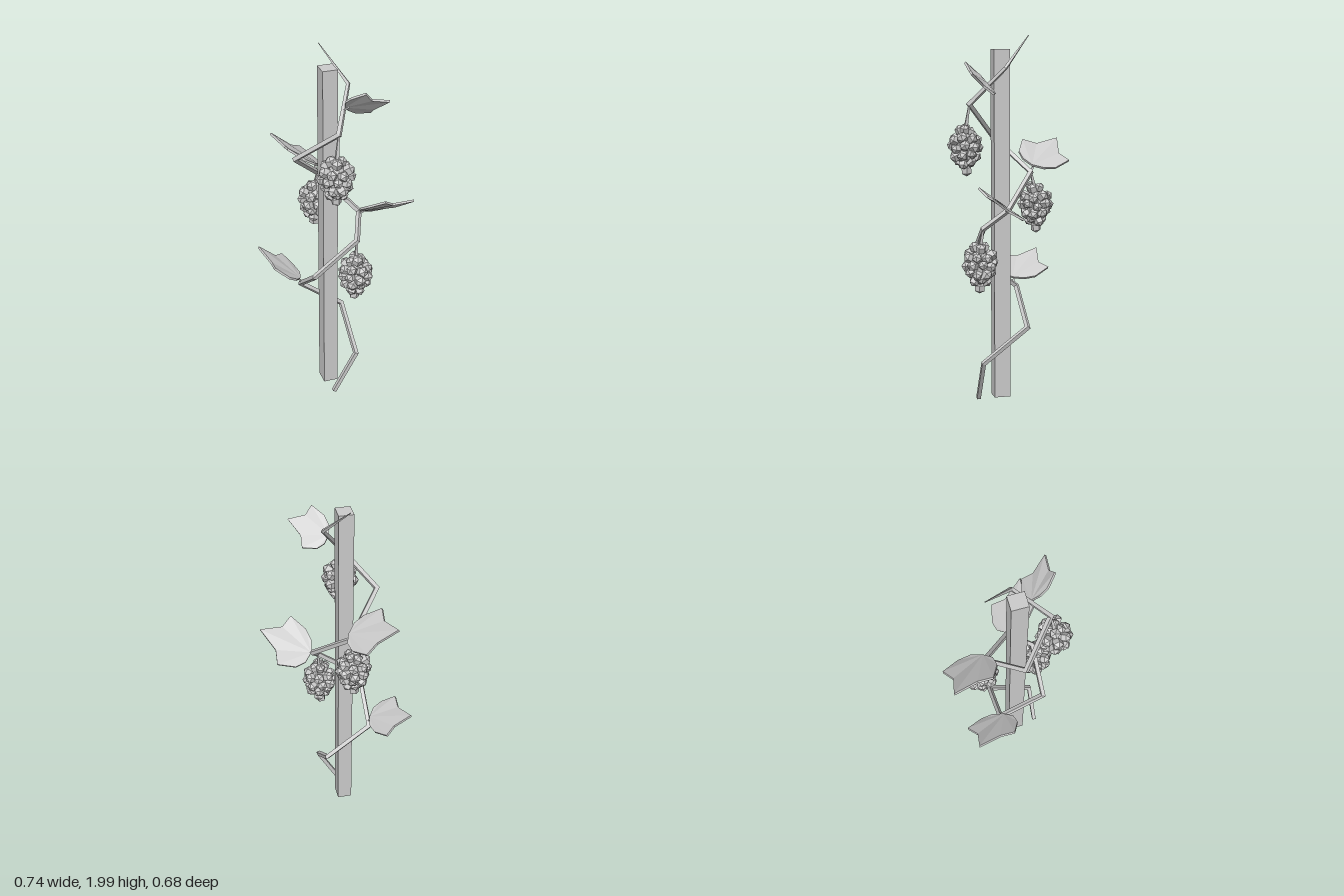
import * as THREE from 'three';
import { mergeGeometries } from 'three/addons/utils/BufferGeometryUtils.js';

const vec = (p) => new THREE.Vector3(...p);
const material = new THREE.MeshStandardMaterial({ color: 0xcccccc, flatShading: true });

function part(name, geometry) {
  const mesh = new THREE.Mesh(geometry, material);
  mesh.name = name;
  return mesh;
}

function fromTriangles(tris) {
  const g = new THREE.BufferGeometry().setFromPoints(tris);
  g.computeVertexNormals();
  return g;
}

// Square bar swept along a path, with mitred corners and a radius at each point
function bar(path, radii, sides = 4) {
  const pts = path.map(vec);
  const dirs = pts.slice(1).map((p, i) => p.clone().sub(pts[i]).normalize());
  const n = new THREE.Vector3(0, 0, 1).cross(dirs[0]).normalize();
  const rings = pts.map((p, k) => {
    const d = dirs[Math.max(k - 1, 0)], next = dirs[Math.min(k, dirs.length - 1)];
    const b = d.clone().cross(n);
    const plane = d.clone().add(next).normalize();
    const ring = [];
    for (let i = 0; i < sides; i++) {
      const a = ((i + 0.5) / sides) * Math.PI * 2;
      const o = n.clone().multiplyScalar(Math.cos(a) * radii[k]).addScaledVector(b, Math.sin(a) * radii[k]);
      o.addScaledVector(d, -o.dot(plane) / d.dot(plane));
      ring.push(o.add(p));
    }
    n.applyQuaternion(new THREE.Quaternion().setFromUnitVectors(d, next));
    return ring;
  });
  const tris = [];
  const last = rings.length - 1;
  for (let i = 0; i < sides; i++) {
    const j = (i + 1) % sides;
    for (let k = 0; k < last; k++) {
      const [a, b, c, d] = [rings[k][i], rings[k][j], rings[k + 1][j], rings[k + 1][i]];
      tris.push(a, b, c, a, c, d);
    }
    tris.push(pts[0], rings[0][j], rings[0][i], pts[last], rings[last][i], rings[last][j]);
  }
  return fromTriangles(tris);
}

// Five-lobed leaf: u runs from stalk to tip, v sideways, with slightly sunken notches
const HALF_LEAF = [[0.63, 0.48, -0.006], [0.53, 1, 0.004], [0.2, 0.78, 0], [0.05, 0.45, 0.003]];
function leaf(base, along, across) {
  const B = vec(base), U = vec(along), V = vec(across);
  const N = U.clone().cross(V).normalize();
  const up = Math.sign(N.y);
  const outline = [[1, 0, 0], ...HALF_LEAF, [0, 0, 0],
    ...HALF_LEAF.map(([u, v, h]) => [u, -v, h]).reverse()];
  const layer = (offset) => outline.map(([u, v, h]) =>
    B.clone().addScaledVector(U, u).addScaledVector(V, v).addScaledVector(N, h * up + offset));
  const top = layer(0.006), low = layer(-0.006);
  const tris = [], count = outline.length, root = 5;
  for (let i = 0; i < count; i++) {
    const j = (i + 1) % count;
    if (i !== root && j !== root) tris.push(top[root], top[i], top[j], low[root], low[j], low[i]);
    tris.push(low[i], low[j], top[j], low[i], top[j], top[i]);
  }
  return fromTriangles(tris);
}

// Bunch of faceted berries: rings of [height, ring radius, berry count]
const ROWS = [[0.1, 0.026, 4], [0.058, 0.062, 7], [0.014, 0.069, 8], [-0.03, 0.056, 7], [-0.07, 0.034, 5], [-0.107, 0.006, 1]];
function bunch([x, y, z], turn) {
  const berries = [new THREE.SphereGeometry(0.07, 8, 6).scale(0.85, 1.4, 0.85)];
  const q = new THREE.Quaternion(), yAxis = new THREE.Vector3(0, 1, 0);
  ROWS.forEach(([h, r, count], row) => {
    for (let i = 0; i < count; i++) {
      const a = ((i + (row % 2) * 0.5) / count) * Math.PI * 2 + turn;
      const k = row * 7 + i;
      const p = new THREE.Vector3(Math.cos(a) * r, h + 0.009 * Math.sin(k * 2.3), Math.sin(a) * r);
      q.setFromUnitVectors(yAxis, p.clone().setY(p.y * 0.6).normalize());
      berries.push(new THREE.SphereGeometry(0.031 + 0.002 * Math.sin(k * 1.7), 5, 3)
        .rotateY(k * 1.3).applyQuaternion(q).translate(p.x, p.y, p.z));
    }
  });
  return mergeGeometries(berries).translate(x, y, z);
}

export function createModel() {
  const model = new THREE.Group();
  model.name = 'grapeVineOnPost';

  // Square post
  model.add(part('post', new THREE.BoxGeometry(0.08, 1.9, 0.088).translate(-0.06, 0.97, 0.05)));

  // Vine winding around the post, tapering to a tip
  const path = [
    [-0.07, 0.01, 0.175], [0.06, 0.24, 0.175], [0.06, 0.425, -0.07], [-0.18, 0.61, -0.07],
    [-0.18, 0.795, 0.175], [0.06, 0.975, 0.175], [0.115, 1.08, 0.05], [-0.06, 1.26, -0.12],
    [-0.235, 1.445, 0.05], [-0.06, 1.63, 0.22], [0.05, 1.82, 0.05], [-0.055, 1.995, -0.105],
  ];
  const radii = path.map((_, i) => (i < 10 ? 0.015 : i === 10 ? 0.011 : 0.002));
  model.add(part('vine', bar(path, radii)));

  // Leaves: stalk start on the vine, leaf base, stalk-to-tip vector, half-width vector
  const leaves = [
    [[-0.18, 0.63, -0.05], [-0.19, 0.655, -0.05], [-0.18, 0.13, -0.19], [-0.055, 0.033, 0.12]],
    [[0.11, 1.07, 0.06], [0.12, 1.08, 0.05], [0.25, 0.09, 0.145], [-0.058, 0.078, 0.105]],
    [[-0.06, 1.26, -0.12], [-0.048, 1.297, -0.123], [-0.208, 0.13, -0.202], [-0.068, 0.055, 0.115]],
    [[-0.01, 1.72, 0.14], [0.0, 1.74, 0.14], [0.19, 0.05, 0.12], [-0.04, 0.082, 0.068]],
  ];
  for (const [start, base, along, across] of leaves) {
    const group = new THREE.Group();
    group.name = 'leaf';
    const inner = base.map((c, i) => c + along[i] * 0.12);
    group.add(part('leafStalk', bar([start, inner], [0.008, 0.005])));
    group.add(part('leafBlade', leaf(base, along, across)));
    model.add(group);
  }

  // Grape bunches hanging from the vine corners
  const bunches = [
    [path[5], [0.047, 0.77, 0.19]],
    [path[7], [-0.066, 1.07, -0.147]],
    [path[9], [-0.08, 1.39, 0.24]],
  ];
  bunches.forEach(([hook, centre], i) => {
    const group = new THREE.Group();
    group.name = 'grapeBunch';
    const [x, y, z] = centre;
    group.add(part('bunchStem', bar([hook, [x, y + 0.09, z]], [0.006, 0.014])));
    group.add(part('grapes', bunch(centre, i * 0.9)));
    model.add(group);
  });

  return model;
}
